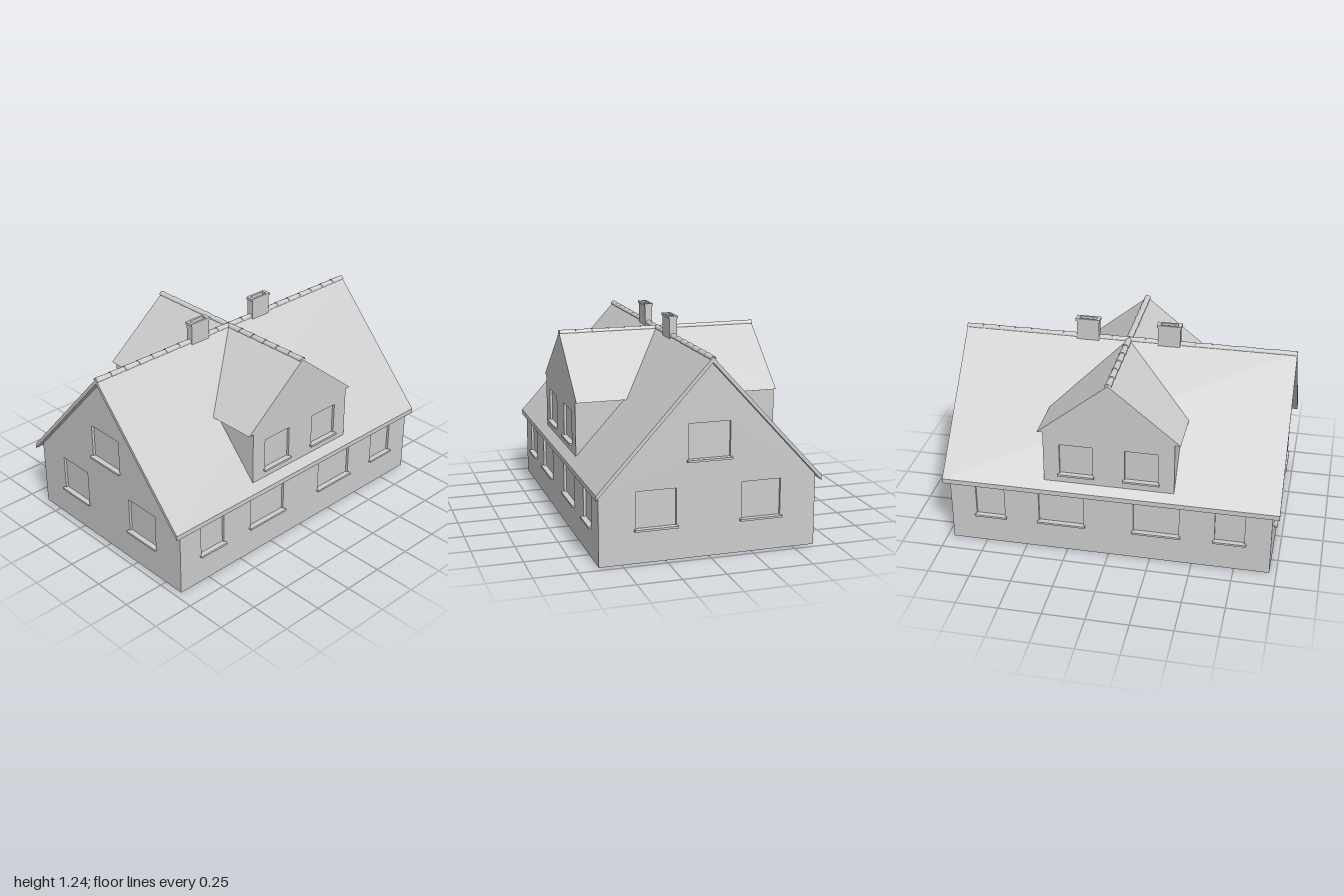
import * as THREE from 'three';

const DEPTH = 0.02;            // wall thickness
const SLOPE = 1.09;            // main roof pitch
const RIDGE = 1.13;            // outer ridge height

export function createModel() {
  const model = new THREE.Group();
  model.name = 'house';
  const plaster = new THREE.MeshStandardMaterial({ color: 0xcccccc, side: THREE.DoubleSide });
  plaster.name = 'light grey';

  function add(parent, geometry, name, x = 0, y = 0, z = 0) {
    const mesh = new THREE.Mesh(geometry, plaster);
    mesh.name = name;
    mesh.position.set(x, y, z);
    parent.add(mesh);
    return mesh;
  }

  const polygon = (pts) => new THREE.Shape(pts.map(([x, y]) => new THREE.Vector2(x, y)));
  const rect = (x0, x1, y0, y1) => polygon([[x0, y0], [x1, y0], [x1, y1], [x0, y1]]);
  const extrude = (shape, depth) => new THREE.ExtrudeGeometry(shape, { depth, bevelEnabled: false });

  // Flat faces from corner loops of three or four points
  function faces(loops) {
    const pos = [];
    for (const p of loops) {
      for (let i = 1; i < p.length - 1; i++) pos.push(...p[0], ...p[i], ...p[i + 1]);
    }
    const g = new THREE.BufferGeometry();
    g.setAttribute('position', new THREE.Float32BufferAttribute(pos, 3));
    g.computeVertexNormals();
    return g;
  }

  // Wall facing local +z, with recessed windows [x0, x1, y0, y1] and sills
  function wall(name, outline, windows, distance, angle) {
    const group = new THREE.Group();
    group.name = name;
    group.rotation.y = angle;
    const shape = polygon(outline);
    for (const w of windows) shape.holes.push(rect(...w));
    add(group, extrude(shape, DEPTH), name + 'Panel', 0, 0, distance - DEPTH);
    for (const [x0, x1, y0, y1] of windows) {
      const cx = (x0 + x1) / 2;
      add(group, new THREE.PlaneGeometry(x1 - x0, y1 - y0), 'windowPane', cx, (y0 + y1) / 2, distance - 0.015);
      add(group, new THREE.BoxGeometry(x1 - x0 + 0.02, 0.012, 0.033), 'windowSill', cx, y0 - 0.004, distance + 0.0015);
    }
    model.add(group);
  }

  // Gable walls
  const gable = [[-0.63, 0], [0.63, 0], [0.63, 0.414], [0, 1.1], [-0.63, 0.414]];
  const gableWindows = [[-0.42, -0.19, 0.195, 0.41], [0.19, 0.42, 0.195, 0.41], [-0.12, 0.12, 0.56, 0.765]];
  wall('frontGable', gable, gableWindows, 0.96, 0);
  wall('backGable', gable, gableWindows, 0.96, Math.PI);

  // Long side walls and dormer fronts
  const side = [[-0.94, 0], [0.94, 0], [0.94, 0.414], [-0.94, 0.414]];
  const sideWindows = [];
  for (const [a, b] of [[0.15, 0.42], [0.63, 0.805]]) {
    sideWindows.push([a, b, 0.183, 0.38], [-b, -a, 0.183, 0.38]);
  }
  const EAVE = 0.787, PEAK = 1.125, FRONT = 0.61, CHEEK = 0.385, OVER = 0.418;
  const dormer = [[-CHEEK, 0.465], [CHEEK, 0.465], [CHEEK, EAVE], [OVER, EAVE], [0, PEAK], [-OVER, EAVE], [-CHEEK, EAVE]];
  const dormerWindows = [[0.095, 0.29, 0.52, 0.715], [-0.29, -0.095, 0.52, 0.715]];
  for (const s of [1, -1]) {
    const label = s > 0 ? 'left' : 'right';
    wall(label + 'Wall', side, sideWindows, 0.63, s * Math.PI / 2);
    wall(label + 'DormerFront', dormer, dormerWindows, FRONT, s * Math.PI / 2);
  }

  // Main roof slab
  const half = 0.652, tip = RIDGE - SLOPE * half;
  const roof = polygon([[-half, tip], [-half, tip - 0.03], [0, RIDGE - 0.03], [half, tip - 0.03], [half, tip], [0, RIDGE]]);
  add(model, extrude(roof, 2), 'mainRoof', 0, 0, -1);

  // Dormer roofs, soffits and cheeks, ending where they meet the main roof
  const meet = (y) => (RIDGE - y) / SLOPE;
  for (const s of [1, -1]) {
    const slopes = [], soffits = [], cheeks = [];
    for (const t of [1, -1]) {
      const order = (loop) => (s * t > 0 ? loop : loop.reverse());
      const at = (x, y, z) => [s * x, y, t * z];
      slopes.push(order([at(meet(PEAK), PEAK, 0), at(meet(EAVE), EAVE, OVER), at(FRONT, EAVE, OVER), at(FRONT, PEAK, 0)]));
      soffits.push(order([at(meet(EAVE), EAVE, OVER), at(meet(EAVE), EAVE, CHEEK), at(FRONT, EAVE, CHEEK), at(FRONT, EAVE, OVER)]));
      cheeks.push(order([at(FRONT, 0.465, CHEEK), at(FRONT, EAVE, CHEEK), at(meet(EAVE), EAVE, CHEEK)]));
    }
    add(model, faces(slopes), 'dormerRoof');
    add(model, faces(soffits), 'dormerSoffit');
    add(model, faces(cheeks), 'dormerCheek');
  }

  // Overlapping half-round ridge tiles
  function ridgeTiles(name, from, to, count, angle) {
    const group = new THREE.Group();
    group.name = name;
    group.rotation.y = angle;
    const step = (to - from) / count;
    const tile = new THREE.CylinderGeometry(0.02, 0.017, step, 10, 1, true, -Math.PI / 2, Math.PI);
    tile.rotateX(Math.PI / 2);
    tile.scale(1, -1, 1);
    tile.index.array.reverse();
    for (let i = 0; i < count; i++) add(group, tile, 'ridgeTile', 0, 1.118, from + (i + 0.5) * step);
    model.add(group);
  }
  ridgeTiles('mainRidge', -1, 1, 20, 0);
  ridgeTiles('leftDormerRidge', 0.01, FRONT, 6, Math.PI / 2);
  ridgeTiles('rightDormerRidge', 0.01, FRONT, 6, -Math.PI / 2);

  // Chimneys: hollow shaft with a flared rim
  function flue(w, d, height) {
    const shape = rect(-w, w, -d, d);
    shape.holes.push(rect(-0.014, 0.014, -0.052, 0.052));
    return extrude(shape, height).rotateX(-Math.PI / 2);
  }
  for (const z of [0.245, -0.245]) {
    add(model, flue(0.022, 0.067, 0.135), 'chimneyShaft', 0, 1.09, z);
    add(model, flue(0.027, 0.073, 0.015), 'chimneyRim', 0, 1.225, z);
  }
  return model;
}
